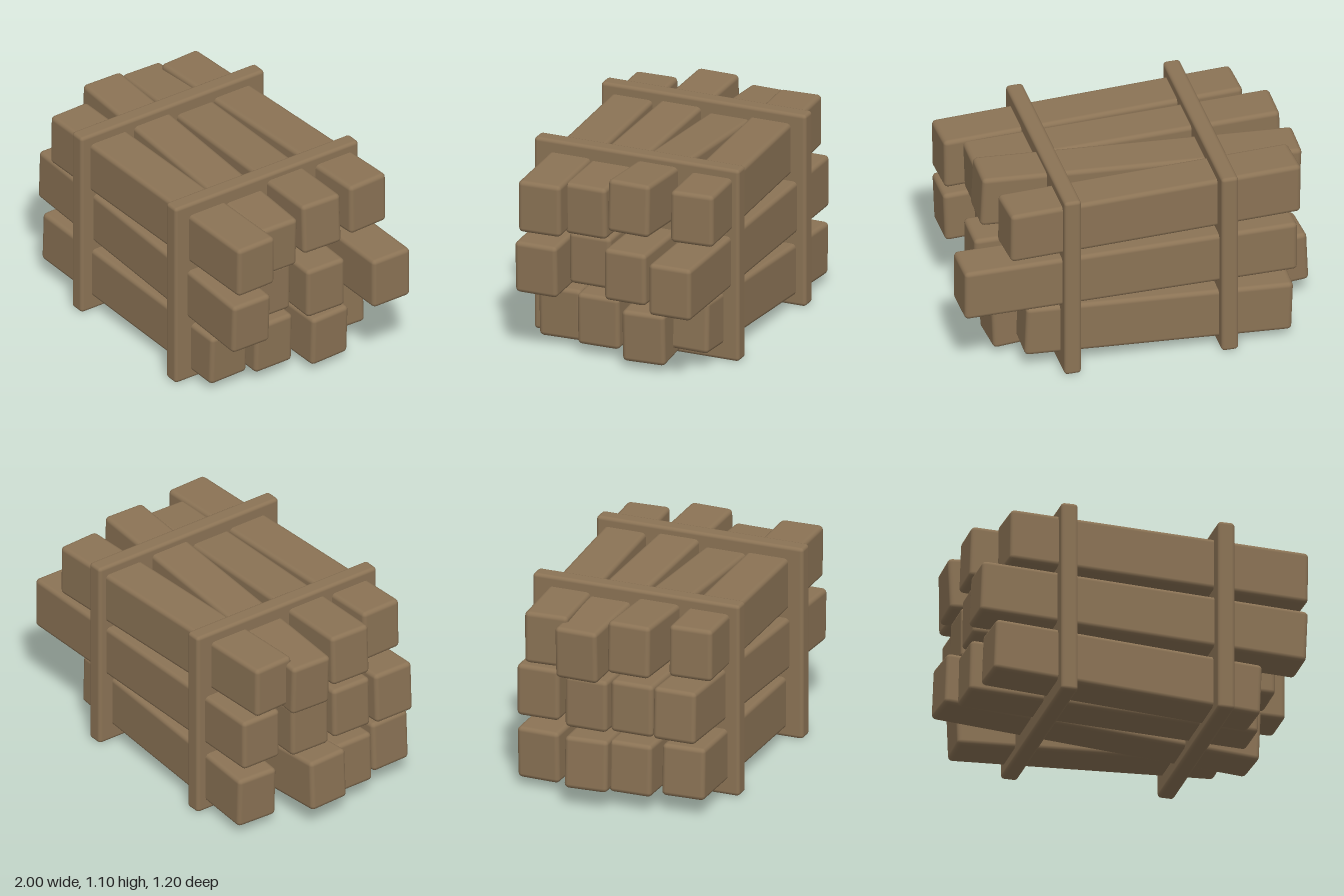
import * as THREE from 'three';
import { RoundedBoxGeometry } from 'three/addons/geometries/RoundedBoxGeometry.js';

// Each beam: left end centre [x, y, z], right end centre [x, y, z]
const BEAMS = {
  topRow: [
    [[-0.78, 0.9, 0.43], [0.89, 0.876, 0.375]],
    [[-0.91, 0.92, 0.125], [0.78, 0.86, 0.155]],
    [[-0.945, 0.855, -0.165], [0.81, 0.93, -0.11]],
    [[-0.88, 0.89, -0.365], [0.75, 0.903, -0.455]],
  ],
  middleRow: [
    [[-0.93, 0.592, 0.4], [0.88, 0.52, 0.4]],
    [[-0.9, 0.58, 0.14], [0.72, 0.555, 0.155]],
    [[-0.89, 0.56, -0.13], [0.85, 0.548, -0.108]],
    [[-0.85, 0.565, -0.425], [0.995, 0.567, -0.435]],
  ],
  bottomRow: [
    [[-0.865, 0.247, 0.425], [0.63, 0.187, 0.37]],
    [[-0.92, 0.242, 0.14], [0.69, 0.2, 0.12]],
    [[-0.995, 0.258, -0.085], [0.78, 0.185, -0.185]],
    [[-0.825, 0.192, -0.435], [0.64, 0.245, -0.382]],
  ],
};

function roundedBlock(name, w, h, d, radius, material) {
  const mesh = new THREE.Mesh(new RoundedBoxGeometry(w, h, d, 2, radius), material);
  mesh.name = name;
  return mesh;
}

// A squared timber running between two end centres
function beam(name, left, right, material) {
  const a = new THREE.Vector3(...left);
  const b = new THREE.Vector3(...right);
  const dir = b.clone().sub(a);
  const mesh = roundedBlock(name, dir.length(), 0.295, 0.245, 0.025, material);
  mesh.position.addVectors(a, b).multiplyScalar(0.5);
  mesh.rotation.order = 'YZX';
  mesh.rotation.y = -Math.atan2(dir.z, dir.x);
  mesh.rotation.z = Math.asin(dir.y / dir.length());
  return mesh;
}

export function createModel() {
  const model = new THREE.Group();
  model.name = 'timberBundle';
  const wood = new THREE.MeshStandardMaterial({ color: 0x8b7355 });
  wood.name = 'brown wood';

  // Three stacked rows of four uneven beams
  for (const [rowName, ends] of Object.entries(BEAMS)) {
    const row = new THREE.Group();
    row.name = rowName;
    ends.forEach(([l, r], i) => row.add(beam(`${rowName}Beam${i + 1}`, l, r, wood)));
    model.add(row);
  }

  // Two upright boards holding the bundle together
  [['rightBrace', -0.462], ['leftBrace', 0.408]].forEach(([name, x]) => {
    const brace = roundedBlock(name, 0.094, 1.1, 1.2, 0.02, wood);
    brace.position.set(x, 0.55, 0);
    model.add(brace);
  });

  return model;
}
